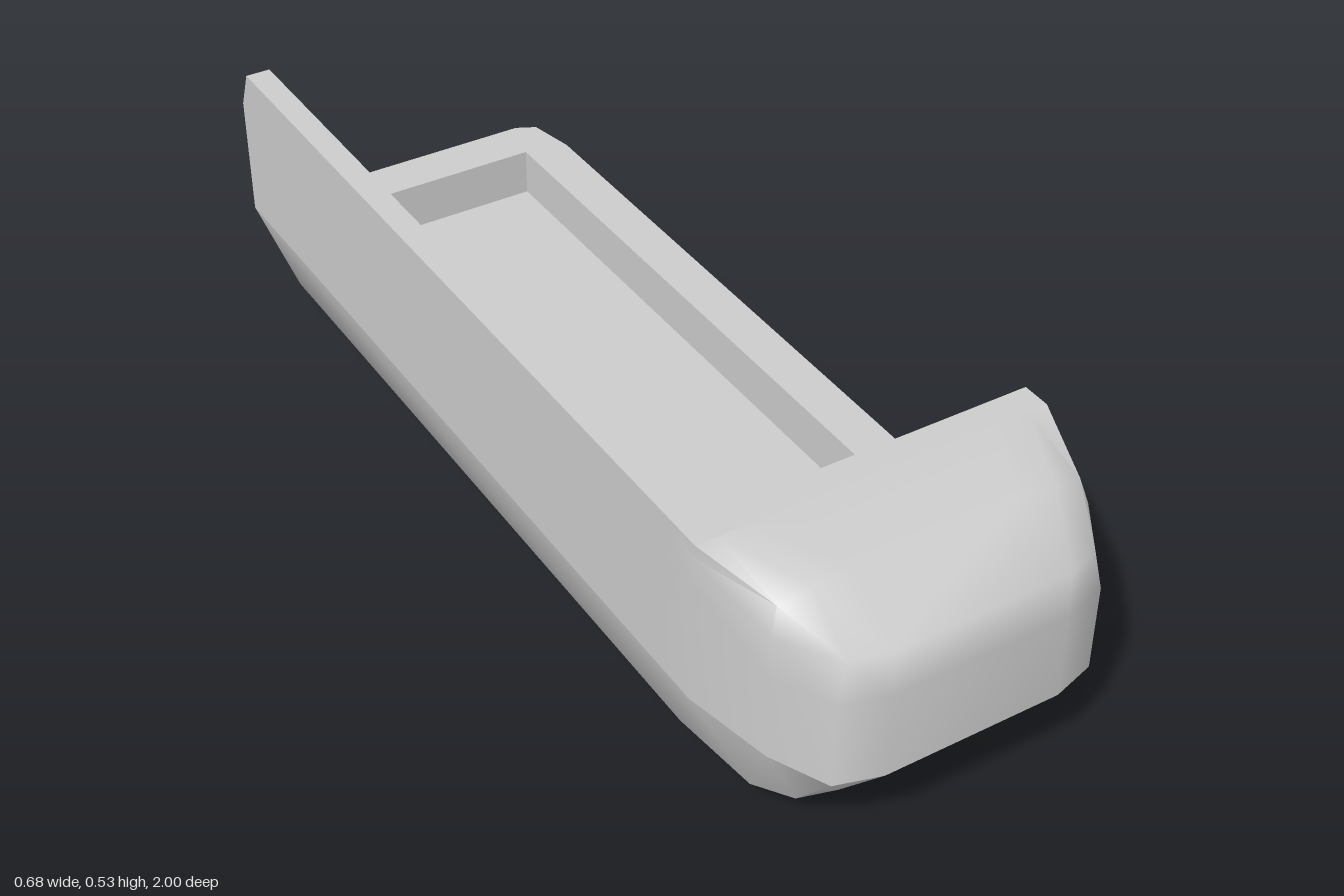
import * as THREE from 'three';
import { toCreasedNormals } from 'three/addons/utils/BufferGeometryUtils.js';

const grey = new THREE.MeshStandardMaterial({ color: 0xcccccc, side: THREE.DoubleSide });

// Skin between rows of [x, y, z] points, rows listed from bottom to top;
// the diagonals mirror across x = 0
function loft(rows, closed, crease) {
  const n = rows[0].length, index = [];
  for (let r = 0; r < rows.length - 1; r++) {
    for (let i = 0; i < (closed ? n : n - 1); i++) {
      const a = r * n + i, b = r * n + (i + 1) % n;
      if (rows[r][i][0] > 0) index.push(a, a + n, b, b, a + n, b + n);
      else index.push(a, a + n, b + n, a, b + n, b);
    }
  }
  const geo = new THREE.BufferGeometry();
  geo.setAttribute('position', new THREE.Float32BufferAttribute(rows.flat(2), 3));
  geo.setIndex(index);
  return toCreasedNormals(geo, crease);
}

const shape = (pts) => new THREE.Shape(pts.map(([a, b]) => new THREE.Vector2(a, b)));
const rect = (a0, a1, b0, b1) => shape([[a0, b0], [a1, b0], [a1, b1], [a0, b1]]);

// Level face from [x, z] points
function level(pts, y, up, hole) {
  const s = up ? -1 : 1;
  const outline = shape(pts.map(([x, z]) => [x, s * z]));
  if (hole) outline.holes.push(shape(hole.map(([x, z]) => [x, s * z])));
  return new THREE.ShapeGeometry(outline).rotateX(s * Math.PI / 2).translate(0, y, 0);
}

// Flat four-cornered panel
function quad(a, b, c, d) {
  const geo = new THREE.BufferGeometry();
  geo.setAttribute('position', new THREE.Float32BufferAttribute([a, b, c, a, c, d].flat(), 3));
  geo.computeVertexNormals();
  return geo;
}

const mirrored = (half) => [...half, ...half.map(([x, y, z]) => [-x, y, z]).reverse()];

export function createModel() {
  const group = new THREE.Group();
  const add = (name, geo, parent = group) => {
    const mesh = new THREE.Mesh(geo, grey);
    mesh.name = name;
    parent.add(mesh);
    return mesh;
  };

  // Lower hull: front half of each level mirrored, then the tail corners
  const ring = (y, front, tail) =>
    [...mirrored(front.map(([x, z]) => [x, y, z])), ...tail.map(([x, z]) => [x, y, z])];
  const hull = [
    ring(0, [[0.21, 0.6], [0.205, 0.6], [0.2, 0.6], [0.16, 0.6]],
      [[-0.21, -0.6], [0.2, -0.6], [0.21, -0.6], [0.21, -0.59]]),
    ring(0.065, [[0.305, 0.62], [0.285, 0.8], [0.24, 0.865], [0.17, 0.885]],
      [[-0.305, -0.88], [0.25, -0.88], [0.295, -0.865], [0.305, -0.8]]),
    ring(0.2, [[0.34, 0.7], [0.305, 0.87], [0.255, 0.975], [0.17, 1]],
      [[-0.34, -1], [0.28, -1], [0.32, -0.98], [0.34, -0.88]]),
  ];
  add('hull', loft(hull, true, 0.8));
  const flat = (row) => row.map(([x, , z]) => [x, z]);
  add('hullBottom', level(flat(hull[0]), 0, false));
  const bay = (front) => [[-0.26, -0.9], [0.25, -0.9], [0.25, front], [-0.26, front]];
  add('hullRim', level(flat(hull[2]), 0.2, true, bay(0.95)));

  // Sunken floor, its surrounding walls, and the cabin inside the nose
  const lo = 0.1, rim = 0.2, roof = 0.37;
  add('floor', level(bay(0.85), lo, true));
  add('bayBackWall', quad([-0.26, lo, -0.9], [0.25, lo, -0.9], [0.25, rim, -0.9], [-0.26, rim, -0.9]));
  add('bayLeftWall', quad([0.25, lo, 0.85], [0.25, rim, 0.95], [0.25, rim, -0.9], [0.25, lo, -0.9]));
  add('bayRightWall', quad([-0.26, lo, -0.9], [-0.26, rim, -0.9], [-0.26, rim, 0.95], [-0.26, lo, 0.85]));
  add('bayFrontSlope', quad([-0.26, lo, 0.85], [-0.26, rim, 0.95], [0.25, rim, 0.95], [0.25, lo, 0.85]));
  add('cabinLeftWall', quad([0.25, rim, 0.95], [0.25, roof, 0.95], [0.25, roof, 0.6], [0.25, rim, 0.6]));
  add('cabinRightWall', quad([-0.26, rim, 0.65], [-0.26, roof, 0.65], [-0.26, roof, 0.95], [-0.26, rim, 0.95]));
  add('cabinFrontWall', quad([-0.26, rim, 0.95], [-0.26, roof, 0.95], [0.25, roof, 0.95], [0.25, rim, 0.95]));
  add('cabinCeiling', level([[-0.26, 0.6], [0.25, 0.6], [0.25, 0.95], [-0.26, 0.95]], roof, false));

  // Rounded nose above the hull
  const nose = [
    [[0.34, 0.2, 0.6], [0.34, 0.2, 0.7], [0.305, 0.2, 0.87], [0.255, 0.2, 0.975], [0.17, 0.2, 1]],
    [[0.34, 0.37, 0.6], [0.34, 0.37, 0.7], [0.305, 0.37, 0.87], [0.255, 0.37, 0.975], [0.17, 0.37, 1]],
    [[0.34, 0.45, 0.6], [0.34, 0.45, 0.7], [0.305, 0.45, 0.87], [0.237, 0.45, 0.97], [0.17, 0.455, 0.995]],
    [[0.34, 0.5, 0.635], [0.34, 0.5, 0.7], [0.29, 0.5, 0.86], [0.23, 0.515, 0.87], [0.155, 0.517, 0.87]],
    [[0.34, 0.53, 0.655], [0.34, 0.53, 0.71], [0.3, 0.53, 0.71], [0.23, 0.53, 0.71], [0.155, 0.53, 0.71]],
  ];
  add('nose', loft(nose.map(mirrored), false, 1.15));
  add('noseTop', level([[-0.34, 0.655], [0.34, 0.655], [0.34, 0.71], [-0.34, 0.71]], 0.53, true));
  const back = shape([[0.25, 0.2], [0.34, 0.2], [0.34, 0.45], [-0.26, 0.45], [-0.26, roof], [0.25, roof]]);
  add('noseBack', new THREE.ShapeGeometry(back).translate(0, 0, 0.6));
  add('noseBackSlope', quad([-0.26, 0.45, 0.6], [-0.29, 0.53, 0.655], [0.34, 0.53, 0.655], [0.34, 0.45, 0.6]));

  // Tall side wall in three layers, giving stepped window recesses
  const windows = [-0.73, -0.305, 0.12];
  const wall = new THREE.Group();
  wall.name = 'sideWall';
  group.add(wall);
  const layer = (name, x0, x1, outline, inset) => {
    if (inset !== null) {
      for (const z of windows) {
        outline.holes.push(rect(z - 0.16 + inset, z + 0.16 - inset, 0.275 + inset, 0.372 - inset / 2));
      }
    }
    const geo = new THREE.ExtrudeGeometry(outline, { depth: x1 - x0, bevelEnabled: false });
    add(name, geo.rotateY(-Math.PI / 2).translate(x1, 0, 0), wall);
  };
  layer('outerSkin', -0.34, -0.315,
    shape([[-1, 0.2], [-1, 0.45], [-0.965, 0.53], [0.655, 0.53], [0.655, 0.2]]), null);
  layer('windowFrames', -0.315, -0.295, rect(-1, 0.65, 0.2, 0.45), 0.015);
  layer('innerSkin', -0.295, -0.26,
    shape([[-1, 0.2], [-1, 0.45], [0.65, 0.45], [0.65, roof], [0.39, roof], [0.39, 0.2]]), 0);

  // Top rail, chamfered on its inner side and at the tail
  const railProfile = shape([[-0.315, 0.45], [-0.26, 0.45], [-0.29, 0.53], [-0.315, 0.53]]);
  const rail = new THREE.ExtrudeGeometry(railProfile, { depth: 1.655, bevelEnabled: false }).translate(0, 0, -1);
  const p = rail.attributes.position;
  for (let i = 0; i < p.count; i++) {
    if (p.getZ(i) < 0 && p.getY(i) > 0.5) p.setZ(i, -0.965);
  }
  rail.computeVertexNormals();
  add('topRail', rail, wall);

  // Benches under the windows, each with two raised ends
  for (const z of windows) {
    const bench = new THREE.Group();
    bench.name = 'bench';
    bench.position.set(-0.22, 0, z);
    group.add(bench);
    add('benchSeat', new THREE.BoxGeometry(0.055, 0.1, 0.29), bench).position.y = 0.15;
    add('benchBack', new THREE.BoxGeometry(0.015, 0.108, 0.3), bench).position.set(-0.033, 0.154, 0);
    for (const s of [-1, 1]) {
      add('benchEnd', new THREE.BoxGeometry(0.08, 0.112, 0.015), bench).position.set(0, 0.156, s * 0.152);
    }
  }
  return group;
}
